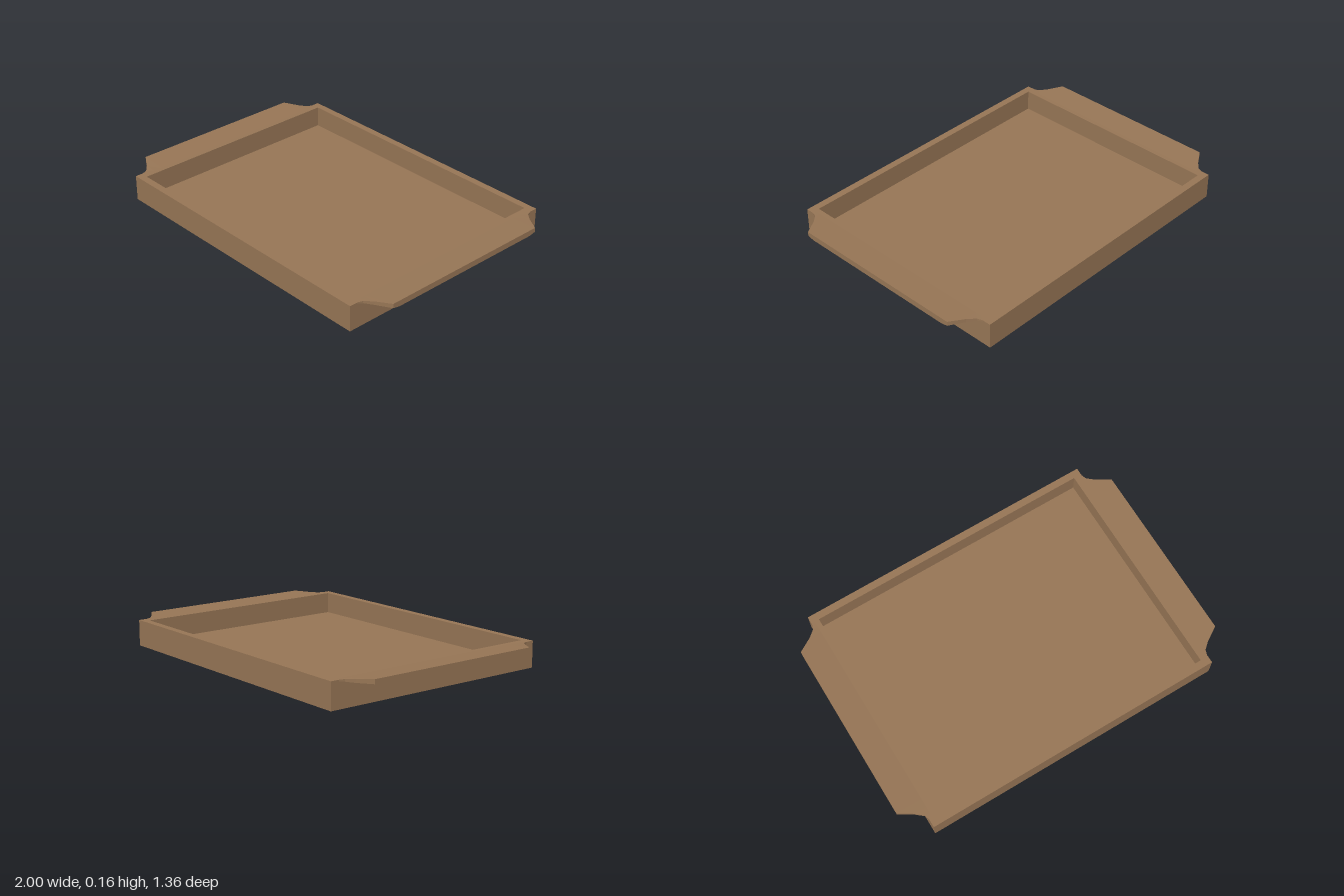
import * as THREE from 'three';

const HEIGHT = 0.147, HALF_X = 0.87, HALF_Z = 0.682;

function rectangle(PathType, hx, hz) {
  const path = new PathType();
  path.moveTo(-hx, -hz);
  path.lineTo(hx, -hz);
  path.lineTo(hx, hz);
  path.lineTo(-hx, hz);
  path.closePath();
  return path;
}

// Side handle: a slab whose ends scoop in towards the tray and thin out from below
function handleGeometry(lift) {
  // z, outer x, underside y
  const half = [
    [0.64, 0.868, 0.14], [0.605, 0.88, 0.134], [0.57, 0.92, 0.127],
    [0.52, 1, 0.122], [0.48, 1, 0.114],
  ];
  const sections = [
    ...half.map(([z, x, y]) => [-z, x, y]),
    ...half.slice().reverse(),
  ];
  const n = sections.length - 1;
  const box = new THREE.BoxGeometry(1, 1, 1, 1, 1, n);
  const p = box.attributes.position;
  for (let i = 0; i < p.count; i++) {
    const [z, outer, bottom] = sections[Math.round((p.getZ(i) + 0.5) * n)];
    const x = p.getX(i) > 0 ? outer : 0.85;
    const rise = lift * Math.max(0, (x - HALF_X) / (1 - HALF_X));
    p.setXYZ(i, x, (p.getY(i) > 0 ? HEIGHT : bottom) + rise, z);
  }
  const geometry = box.toNonIndexed();
  geometry.computeVertexNormals();
  return geometry;
}

export function createModel() {
  const wood = new THREE.MeshStandardMaterial({ color: 0x967555 });
  wood.name = 'brown wood';
  const tray = new THREE.Group();
  tray.name = 'servingTray';
  const add = (name, geometry) => {
    const mesh = new THREE.Mesh(geometry, wood);
    mesh.name = name;
    tray.add(mesh);
    return mesh;
  };

  // Four walls as one open frame
  const outline = rectangle(THREE.Shape, HALF_X, HALF_Z);
  outline.holes.push(rectangle(THREE.Path, 0.824, 0.641));
  const frame = new THREE.ExtrudeGeometry(outline, { depth: HEIGHT, bevelEnabled: false });
  frame.rotateX(-Math.PI / 2);
  add('walls', frame);

  // Bottom panel set inside the walls
  const floor = new THREE.BoxGeometry(1.648, 0.027, 1.282);
  floor.translate(0, 0.0135, 0);
  add('floor', floor);

  // Handles, the right one turned up slightly more
  add('leftHandle', handleGeometry(0.004));
  add('rightHandle', handleGeometry(0.011)).rotation.y = Math.PI;

  return tray;
}
